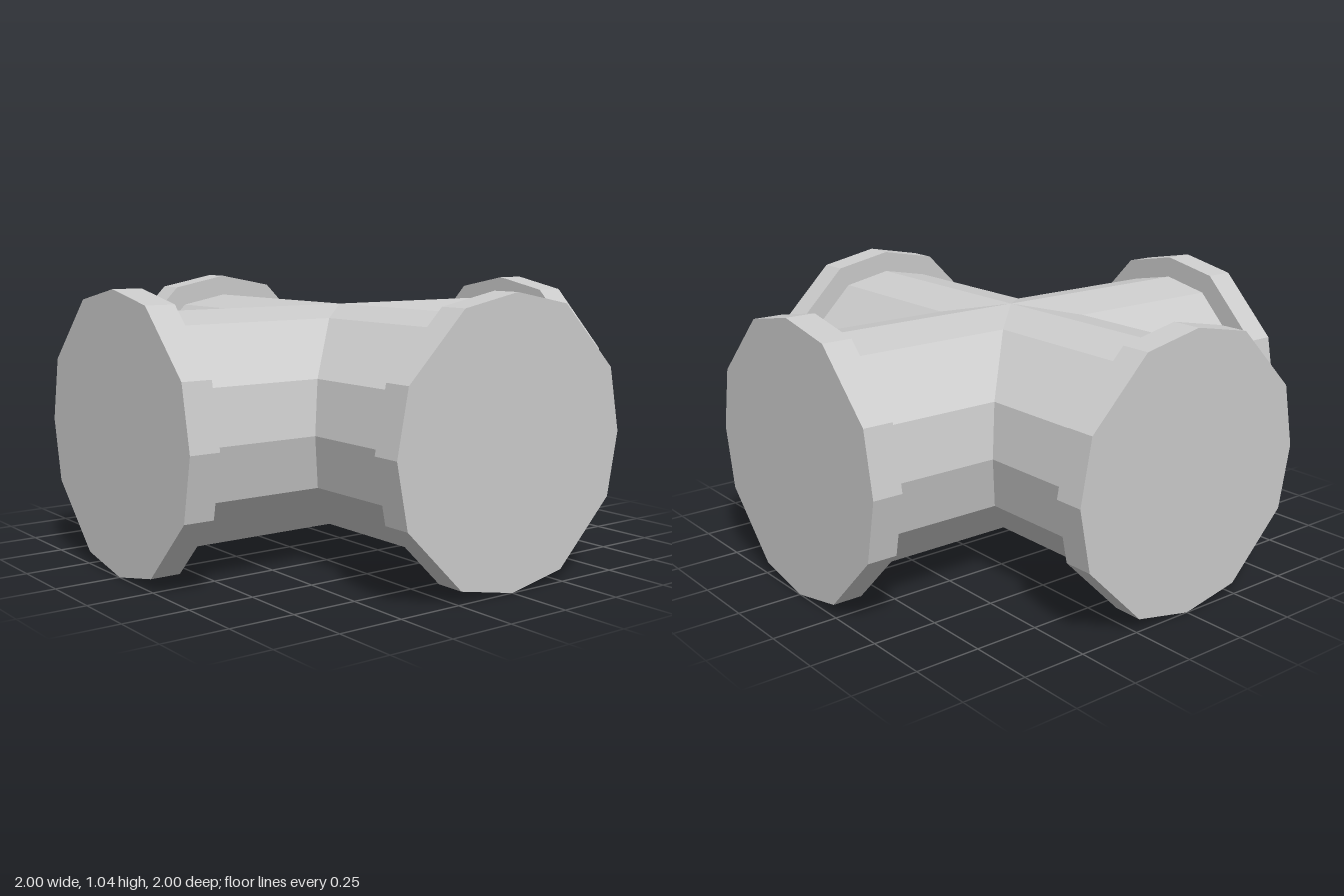
import * as THREE from 'three';

const PIPE_R = 0.437, FLANGE_R = 0.522, FLANGE_BACK = 0.885, END = 1;

// Twelve-sided unit section, counter-clockwise seen from +z
const SECTION = [];
for (let q = 0; q < 4; q++) {
  for (const [x, y] of [[1, 0], [0.911, 0.456], [0.456, 0.911]]) {
    SECTION.push(new THREE.Vector2(x, y).rotateAround(new THREE.Vector2(), q * Math.PI / 2));
  }
}

// A ring of the section at a radius; depth is a function of x
const ring = (radius, depth) =>
  SECTION.map(p => new THREE.Vector3(p.x * radius, p.y * radius, depth(p.x * radius)));

// Skin consecutive rings with faceted quads; a ring of radius 0 closes the end
function loft(rings) {
  const points = [];
  for (let r = 0; r < rings.length - 1; r++) {
    const a = rings[r], b = rings[r + 1];
    for (let i = 0; i < a.length; i++) {
      const j = (i + 1) % a.length;
      points.push(a[i], a[j], b[j]);
      if (b[i].distanceTo(b[j]) > 1e-6) points.push(a[i], b[j], b[i]);
    }
  }
  const geometry = new THREE.BufferGeometry().setFromPoints(points);
  geometry.computeVertexNormals();
  return geometry;
}

export function createModel() {
  const model = new THREE.Group();
  model.name = 'pipeCross';
  const material = new THREE.MeshStandardMaterial({ color: 0xcccccc, flatShading: true });

  // Pipe arm, mitred at 45 degrees where it meets its neighbours
  const pipeGeometry = loft([
    ring(PIPE_R, x => Math.abs(x)),
    ring(PIPE_R, () => FLANGE_BACK),
  ]);

  // Closed end flange: back rim, outer wall, front cap
  const flangeGeometry = loft([
    ring(PIPE_R, () => FLANGE_BACK),
    ring(FLANGE_R, () => FLANGE_BACK),
    ring(FLANGE_R, () => END),
    ring(0, () => END),
  ]);

  // Four identical arms around the vertical axis
  ['front', 'left', 'back', 'right'].forEach((side, i) => {
    const arm = new THREE.Group();
    arm.name = side + 'Arm';
    const pipe = new THREE.Mesh(pipeGeometry, material);
    pipe.name = side + 'Pipe';
    const flange = new THREE.Mesh(flangeGeometry, material);
    flange.name = side + 'Flange';
    arm.add(pipe, flange);
    arm.rotation.y = i * Math.PI / 2;
    arm.position.y = FLANGE_R;
    model.add(arm);
  });
  return model;
}
